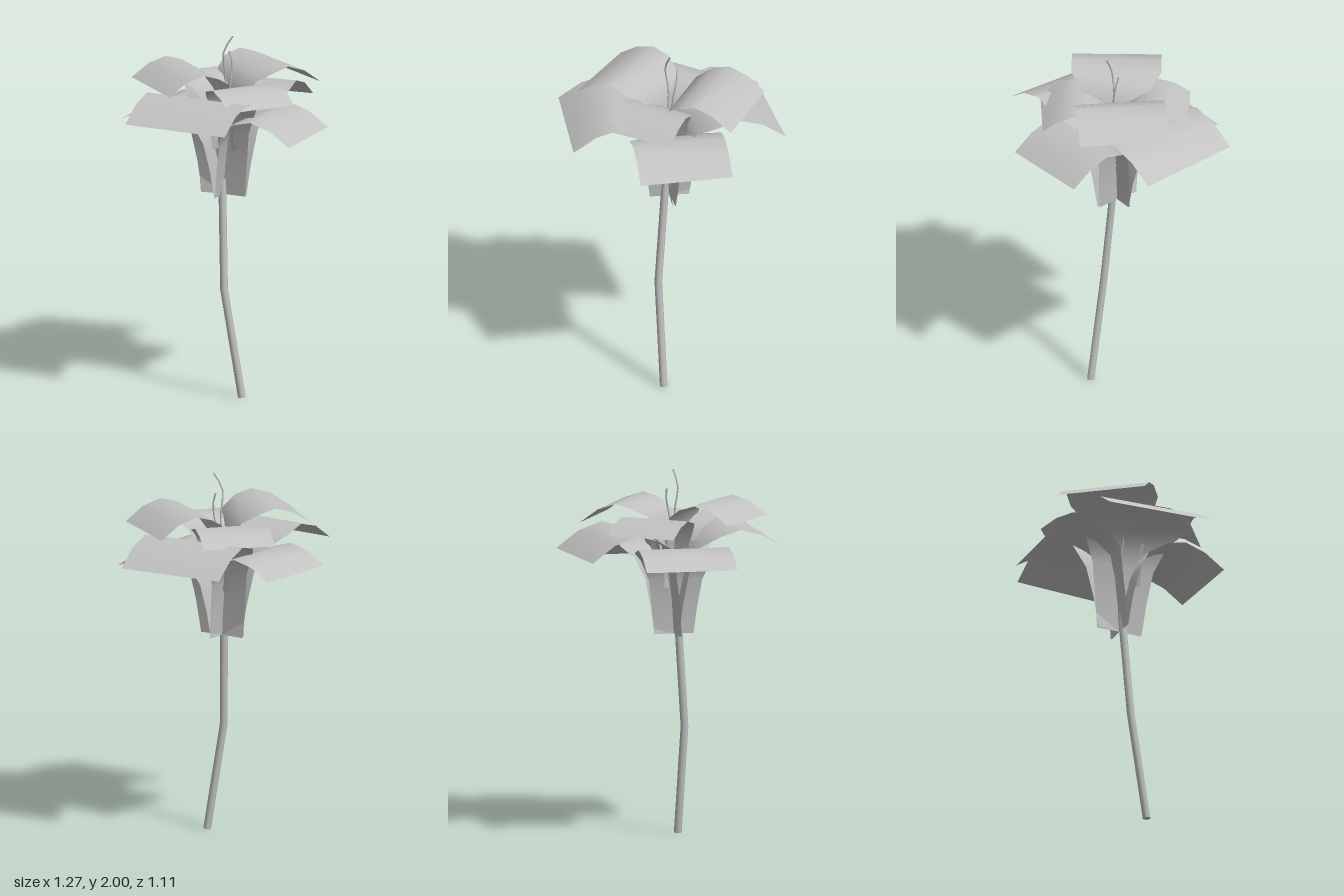
import * as THREE from 'three';

// Petal of width 1: [reach outward, height above base, width fraction]
const PROFILE = [
  [0, 0, 0.43], [0.03, 0.3, 0.5], [0.08, 0.6, 0.59], [0.145, 0.82, 0.79],
  [0.317, 0.93, 1], [0.505, 0.99, 1], [0.72, 0.93, 1], [0.928, 0.79, 1],
];

// Bends a flat strip along the profile; dir is the outward direction [x, z]
function petalGeometry(width, dir, reach, lean) {
  const rows = PROFILE.length - 1;
  const geo = new THREE.PlaneGeometry(1, 1, 1, rows);
  const pos = geo.attributes.position;
  const [nx, nz] = new THREE.Vector2(...dir).normalize().toArray();
  for (let i = 0; i < pos.count; i++) {
    const [r, h, w] = PROFILE[rows - Math.floor(i / 2)];
    const side = pos.getX(i) * w * width;
    const out = r * width * reach / 0.928;
    pos.setXYZ(i, nx * out + nz * side, h * width + lean * out, nz * out - nx * side);
  }
  geo.computeVertexNormals();
  return geo;
}

function tube(points, segments, radius, sides) {
  const curve = new THREE.CatmullRomCurve3(points.map((p) => new THREE.Vector3(...p)));
  return new THREE.TubeGeometry(curve, segments, radius, sides);
}

export function createModel() {
  const group = new THREE.Group();
  const grey = new THREE.MeshStandardMaterial({ color: 0xc2c2c2, side: THREE.DoubleSide });
  grey.name = 'paleGrey';
  const add = (name, geo) => {
    const mesh = new THREE.Mesh(geo, grey);
    mesh.name = name;
    group.add(mesh);
    return mesh;
  };

  // Petals: name, width, outward direction, reach, lean, base position
  const inner = [0, 1.37, 0];
  const outer = [-0.01, 1.11, -0.01];
  const petals = [
    ['innerRightPetal', 0.485, [-0.937, -0.35], 0.928, 0, inner],
    ['innerLeftPetal', 0.488, [0.974, 0.226], 0.915, -0.06, inner],
    ['innerBackPetal', 0.396, [0.354, -0.935], 1.005, 0, inner],
    ['innerFrontPetal', 0.398, [-0.3, 0.954], 1.01, -0.03, inner],
    ['outerRightPetal', 0.606, [-0.957, 0.289], 0.93, 0, outer],
    ['outerLeftPetal', 0.607, [0.914, -0.404], 0.935, -0.05, outer],
    ['outerBackPetal', 0.5, [-0.28, -0.96], 1.0, 0.03, outer],
    ['outerFrontPetal', 0.505, [0.337, 0.942], 1.0, -0.06, outer],
  ];
  for (const [name, width, dir, reach, lean, base] of petals) {
    add(name, petalGeometry(width, dir, reach, lean)).position.set(...base);
  }

  // Stem with a single bend, closed at the foot
  const foot = [-0.018, 0.004, 0.137];
  add('stem', tube([foot, [-0.062, 0.56, 0.05], [-0.03, 1.2, 0]], 2, 0.021, 8));
  const cap = add('stemFoot', new THREE.CircleGeometry(0.021, 8));
  cap.rotation.x = Math.PI / 2;
  cap.position.set(...foot);

  // Thin stamens
  add('tallStamen', tube([[-0.05, 1.37, 0.01], [-0.03, 1.52, 0.01], [-0.012, 1.77, 0.005],
    [-0.03, 1.91, 0.012], [0, 1.998, 0.052]], 12, 0.005, 5));
  add('shortStamen', tube([[0.01, 1.25, 0], [0, 1.5, 0.005], [0.02, 1.77, 0.02],
    [0.034, 1.83, 0.015], [0.03, 1.9, -0.005]], 12, 0.005, 5));

  return group;
}
